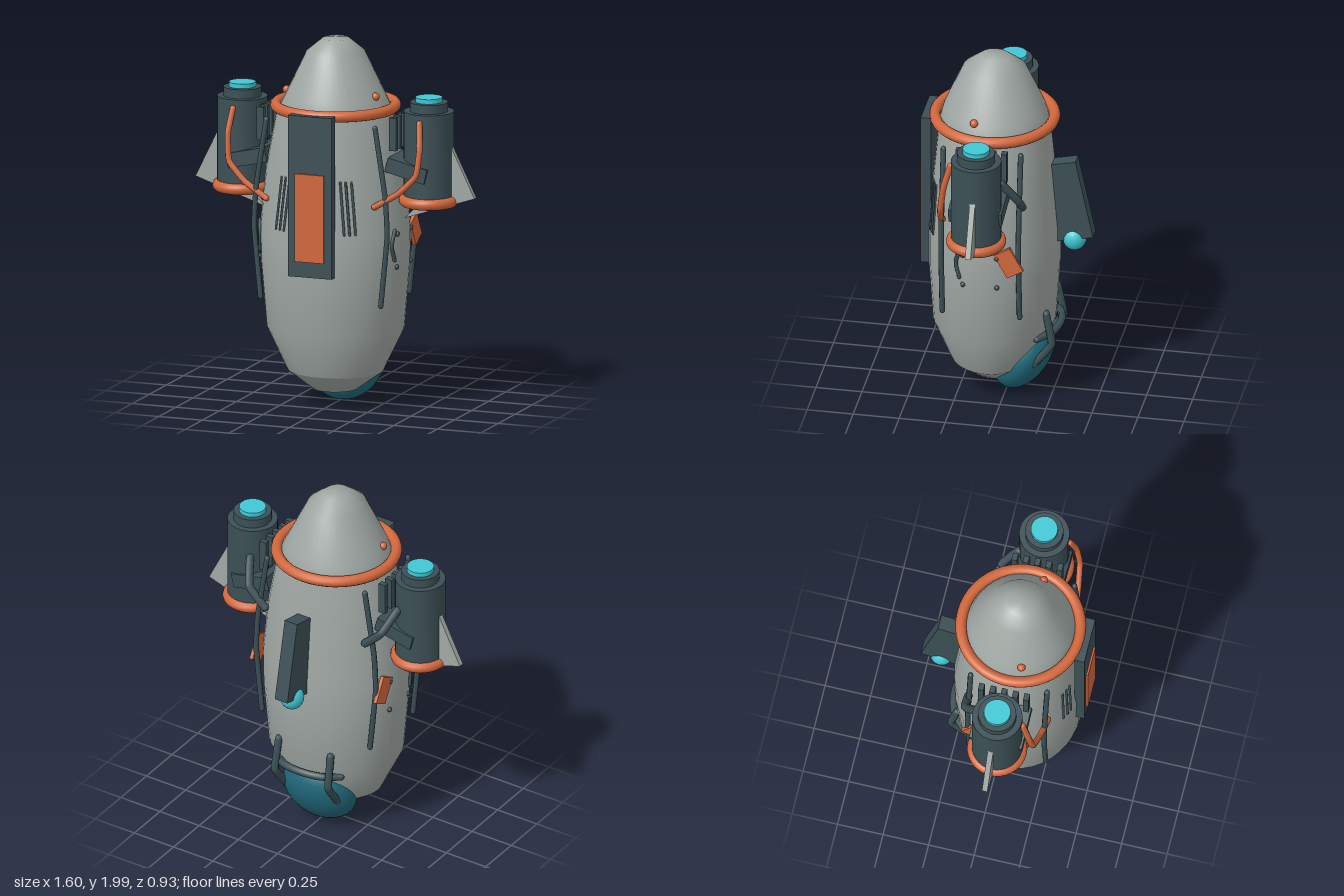
import * as THREE from 'three';
import { mergeVertices, toCreasedNormals } from 'three/addons/utils/BufferGeometryUtils.js';

const V = (x, y, z) => new THREE.Vector3(x, y, z);
const CZ = 0.075; // z of the hull axis

// hull cross-sections: height, half width in x, half depth in z
const ROWS = [
  [0.09, 0.12, 0.125], [0.19, 0.26, 0.235], [0.43, 0.375, 0.33], [0.78, 0.405, 0.352],
  [0.98, 0.41, 0.352], [1.3, 0.378, 0.325], [1.6, 0.318, 0.298], [1.7, 0.265, 0.272],
  [1.93, 0.155, 0.17], [2.0, 0.07, 0.08],
];

// half width and half depth of the hull at a height
function hullAt(y) {
  let i = 0;
  while (i < ROWS.length - 2 && ROWS[i + 1][0] < y) i++;
  const a = ROWS[i], b = ROWS[i + 1], t = (y - a[0]) / (b[0] - a[0]);
  return [a[1] + (b[1] - a[1]) * t, a[2] + (b[2] - a[2]) * t];
}
const frontZ = (x, y) => {
  const [rx, rz] = hullAt(y);
  return CZ + rz * Math.sqrt(1 - (x / rx) ** 2);
};
const sideX = (z, y) => {
  const [rx, rz] = hullAt(y);
  return rx * Math.sqrt(1 - ((z - CZ) / rz) ** 2);
};

// lathe whose rings are squeezed to the hull's oval sections
function ovalLathe(rows, closeBottom, closeTop) {
  const pts = rows.map(r => new THREE.Vector2(r[1], r[0]));
  if (closeBottom) pts.unshift(new THREE.Vector2(0, rows[0][0]));
  if (closeTop) pts.push(new THREE.Vector2(0, rows[rows.length - 1][0]));
  const geo = new THREE.LatheGeometry(pts, 40);
  const p = geo.attributes.position;
  for (let i = 0; i < p.count; i++) {
    const [rx, rz] = hullAt(p.getY(i));
    let z = p.getZ(i) * rz / rx;
    if (z < 0 && p.getY(i) < 0.2) z *= 0.85; // tuck under the rear dome
    p.setZ(i, z + CZ);
  }
  geo.deleteAttribute('uv');
  geo.deleteAttribute('normal');
  const out = mergeVertices(geo);
  out.computeVertexNormals();
  return out;
}

export function createModel() {
  const mat = (name, color) => {
    const m = new THREE.MeshStandardMaterial({ color });
    m.name = name;
    return m;
  };
  const grey = mat('hullGrey', 0xa0a8a4);
  const dark = mat('darkSlate', 0x3c5056);
  const orange = mat('orange', 0xd2673b);
  const teal = mat('deepTeal', 0x20687a);
  const cyan = mat('glowCyan', 0x40c8d6);

  const root = new THREE.Group();
  const add = (name, geo, m, pos = [0, 0, 0], rot = [0, 0, 0], parent = root) => {
    const mesh = new THREE.Mesh(geo, m);
    mesh.name = name;
    mesh.position.set(...pos);
    mesh.rotation.set(...rot);
    parent.add(mesh);
    return mesh;
  };
  const box = (w, h, d) => new THREE.BoxGeometry(w, h, d);
  const ball = r => new THREE.SphereGeometry(r, 20, 14);

  // bent pipe with rounded ends
  const pipe = (name, pts, r, m, tension = 0.2) => {
    const curve = new THREE.CatmullRomCurve3(pts, false, 'catmullrom', tension);
    add(name, new THREE.TubeGeometry(curve, 24, r, 8), m);
    for (const p of [pts[0], pts[pts.length - 1]])
      add(name + 'End', new THREE.SphereGeometry(r, 8, 6), m, p.toArray());
  };

  // hull and collar
  add('hull', ovalLathe(ROWS.slice(1), false, true), grey);
  add('hullBase', ovalLathe(ROWS.slice(0, 2), true, false), grey);
  add('collarRing', new THREE.TorusGeometry(0.32, 0.03, 12, 48), orange, [0, 1.637, CZ], [Math.PI / 2, 0, 0]);

  // front panel
  add('frontPanel', box(0.25, 0.88, 0.055), dark, [0, 1.205, 0.427]);
  add('frontPanelInset', box(0.166, 0.48, 0.012), orange, [0, 1.09, 0.459]);

  // rear box with lamp
  add('rearBox', box(0.08, 0.46, 0.2), dark, [0, 1.165, -0.32], [0.21, 0, 0]);
  add('rearLamp', ball(0.065), cyan, [0, 0.932, -0.358]).scale.y = 1.08;

  // rear dome and its clamp
  add('rearDome', new THREE.SphereGeometry(1, 32, 24), teal, [0, 0.21, -0.085], [-0.54, 0, 0])
    .scale.set(0.21, 0.22, 0.14);
  pipe('domeClampBar', [V(-0.2, 0.4, -0.19), V(-0.12, 0.41, -0.26), V(0, 0.415, -0.285),
    V(0.12, 0.41, -0.26), V(0.2, 0.4, -0.19)], 0.021, dark, 0.5);

  // pod shell with a hollow nozzle below and a stepped top
  const podShell = toCreasedNormals(new THREE.LatheGeometry([
    [0, 1.3], [0.1, 1.3], [0.11, 1.15], [0.135, 1.15], [0.135, 1.645], [0.102, 1.645],
    [0.102, 1.695], [0, 1.695],
  ].map(p => new THREE.Vector2(...p)), 32), 0.6);

  for (const s of [1, -1]) {
    const pod = new THREE.Group();
    pod.name = s > 0 ? 'leftPod' : 'rightPod';
    pod.position.set(s * 0.535, 0, CZ);
    root.add(pod);
    add('podShell', podShell, dark, [0, 0, 0], [0, 0, 0], pod);
    add('podTopLight', new THREE.CylinderGeometry(0.072, 0.072, 0.03, 28), cyan, [0, 1.705, 0], [0, 0, 0], pod);
    add('podNozzleLight', new THREE.CylinderGeometry(0.07, 0.07, 0.03, 28), cyan, [0, 1.29, 0], [0, 0, 0], pod);
    add('podRing', new THREE.TorusGeometry(0.13, 0.031, 12, 36), orange, [0, 1.157, 0], [Math.PI / 2, 0, 0], pod);

    // fin passing under the pod
    const finShape = new THREE.Shape([[0.8, 1.185], [0.665, 1.46], [0.6, 1.25], [0.4, 1.05]]
      .map(([x, y]) => new THREE.Vector2(s * x, y)));
    add('fin', new THREE.ExtrudeGeometry(finShape, { depth: 0.03, bevelEnabled: false }), grey, [0, 0, 0.055]);

    // arm and cooling slats between pod and hull
    add('podArm', box(0.23, 0.08, 0.29), dark, [s * 0.458, 1.337, CZ], [0, 0, -s * 0.23]);
    for (let i = 0; i < 5; i++)
      add('coolingSlat', box(0.04, 0.18, 0.03), dark, [s * 0.38, 1.53, CZ + (i - 2) * 0.062]);

    // hoses
    pipe('feedHose', [V(s * 0.535, 1.6, 0.215), V(s * 0.55, 1.47, 0.25), V(s * 0.535, 1.325, 0.27),
      V(s * 0.44, 1.225, 0.285), V(s * 0.31, 1.145, 0.3)], 0.017, orange);
    pipe('rearPipe', [V(s * 0.47, 1.48, -0.05), V(s * 0.42, 1.36, -0.13), V(s * 0.32, 1.265, -0.135)], 0.023, dark);

    // long rails along the hull
    for (const z of [0.295, -0.125])
      pipe('hullRail', [V(s * 0.312, 1.575, z), V(s * 0.37, 1.2, z), V(s * 0.381, 0.98, z),
        V(s * 0.345, 0.605, z)], 0.015, dark);

    // front vents
    for (const x of [0.145, 0.172, 0.2]) {
      const xb = x + 0.028;
      pipe('frontVent', [V(s * x, 1.28, frontZ(x, 1.28)), V(s * xb, 1.0, frontZ(xb, 1.0))], 0.007, dark);
    }

    // side hatch fittings
    for (const [z, y] of [[0.175, 0.98], [0.175, 0.8], [-0.01, 0.8], [-0.01, 0.98]])
      add('hatchBolt', new THREE.SphereGeometry(0.014, 10, 8), dark, [s * sideX(z, y), y, z]);
    pipe('hatchHandle', [[0.195, 1.0], [0.215, 0.92], [0.195, 0.84]]
      .map(([z, y]) => V(s * (sideX(z, y) + 0.003), y, z)), 0.011, dark, 0.5);
    add('sidePlate', box(0.02, 0.15, 0.1), orange, [s * 0.395, 0.96, -0.075], [0.52, 0, 0]);

    // small nose light
    add('noseLight', ball(0.022), orange, [s * 0.255, 1.712, 0.14]);

    // dome clamp legs
    pipe('domeClampLeg', [V(s * 0.165, 0.54, -0.235), V(s * 0.17, 0.36, -0.265), V(s * 0.16, 0.22, -0.165)], 0.021, dark);
  }
  return root;
}
